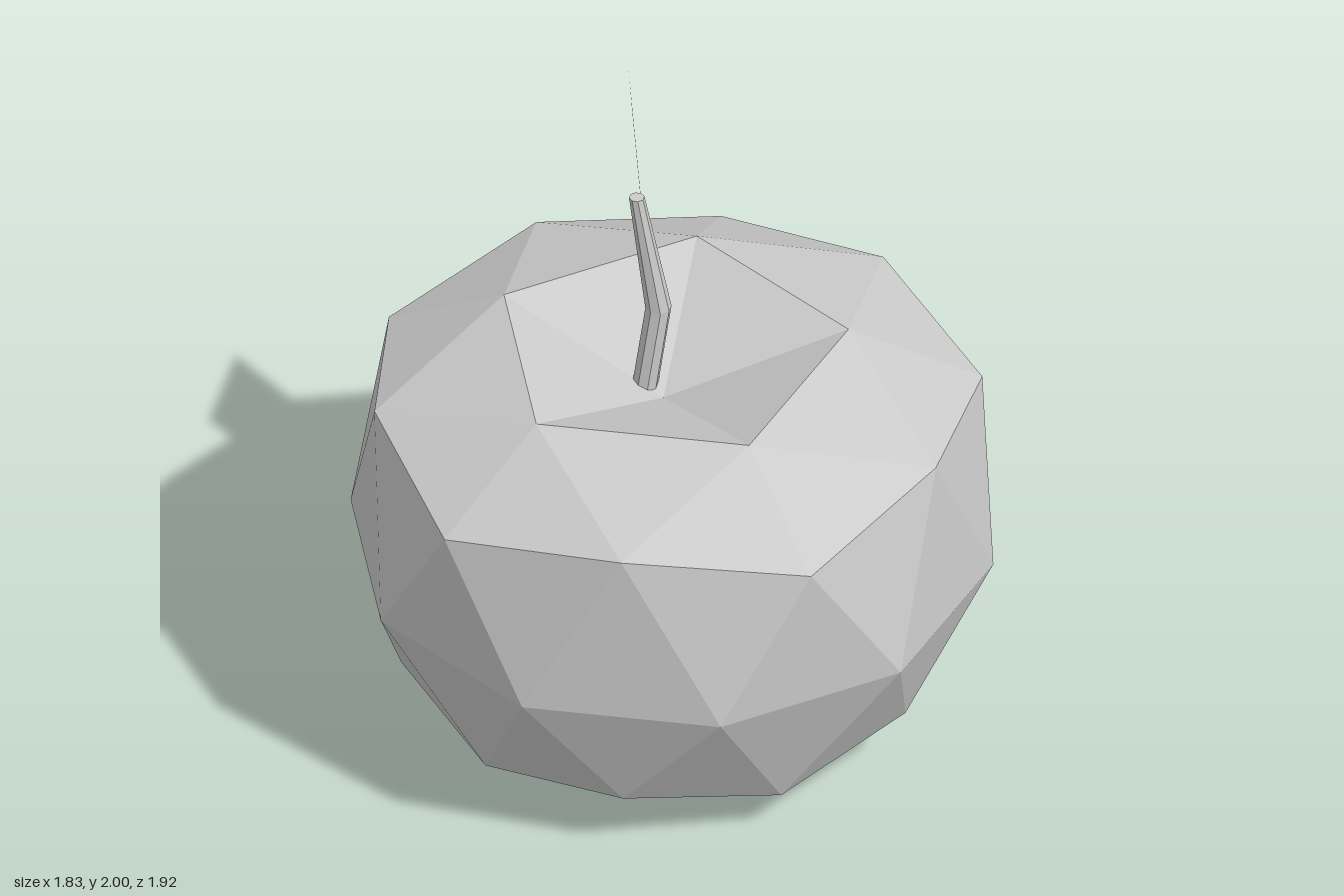
import * as THREE from 'three';

const grey = (extra = {}) =>
  new THREE.MeshStandardMaterial({ color: 0xcccccc, flatShading: true, ...extra });

function facetGeometry(triangles) {
  const g = new THREE.BufferGeometry().setFromPoints(triangles.flat());
  g.computeVertexNormals();
  return g;
}

// point on a horizontal ring, angle counted in steps of 36 degrees
function ringPoint([cx, r, y], step) {
  const a = (step * Math.PI) / 5;
  return new THREE.Vector3(cx + r * Math.cos(a), y, r * Math.sin(a));
}

// Faceted fruit: a subdivided icosahedron squashed ring by ring, with dented poles
function makeBody() {
  const tris = [];
  // rings are [centre x, radius, height]
  const rimTop = [-0.02, 0.54, 1.29];
  const shoulderCorner = [-0.012, 0.93, 1.07];
  const shoulderMid = [-0.01, 0.88, 1.147];
  const belly = [-0.005, 0.958, 0.6];
  const footCorner = [-0.02, 0.79, 0.21];
  const footMid = [-0.02, 0.75, 0.14];
  const rimBottom = [-0.018, 0.461, 0];

  const upper = (k) => ringPoint(k % 2 ? shoulderMid : shoulderCorner, k);
  const middle = (k) => ringPoint(belly, k + 0.5);
  const lower = (k) => ringPoint(k % 2 ? footCorner : footMid, k);

  // two bands around the belly
  for (let k = 0; k < 10; k++) {
    tris.push(
      [upper(k), upper(k + 1), middle(k)],
      [middle(k), upper(k + 1), middle(k + 1)],
      [middle(k), middle(k + 1), lower(k + 1)],
      [lower(k), middle(k), lower(k + 1)]
    );
  }

  // caps closing the top and bottom down to their dents
  const cap = (pole, rim, ring, start, flip) => {
    for (let k = start; k < start + 10; k += 2) {
      const a = ringPoint(rim, k);
      const b = ringPoint(rim, k + 2);
      const faces = [
        [a, ring(k + 1), ring(k)],
        [b, ring(k + 2), ring(k + 1)],
        [a, b, ring(k + 1)],
        [pole, b, a],
      ];
      faces.forEach((f) => tris.push(flip ? [f[0], f[2], f[1]] : f));
    }
  };
  cap(new THREE.Vector3(-0.03, 1.1, 0), rimTop, upper, 0, false);
  cap(new THREE.Vector3(-0.02, 0.05, 0), rimBottom, lower, 1, true);

  const body = new THREE.Mesh(facetGeometry(tris), grey());
  body.name = 'fruitBody';
  return body;
}

// Bent, tapering stalk: a cylinder whose three rings follow a kinked path
function makeStem() {
  const path = [
    { x: -0.08, y: 1.09, z: -0.055, r: 0.039 },
    { x: -0.036, y: 1.39, z: -0.062, r: 0.039 },
    { x: -0.098, y: 1.79, z: -0.078, r: 0.023 },
  ];
  const g = new THREE.CylinderGeometry(1, 1, 2, 8, 2);
  const p = g.attributes.position;
  for (let i = 0; i < p.count; i++) {
    const s = path[Math.round(p.getY(i)) + 1];
    p.setXYZ(i, s.x + p.getX(i) * s.r, s.y, s.z + p.getZ(i) * s.r);
  }
  g.computeVertexNormals();
  const stem = new THREE.Mesh(g, grey());
  stem.name = 'stem';
  return stem;
}

// Single flat leaf, tilted away behind the stem
function makeLeaf() {
  const [a, b, c, d] = [
    [-0.09, 2.0, -0.22],
    [-0.042, 1.855, -0.61],
    [-0.025, 1.46, -0.465],
    [-0.073, 1.605, -0.075],
  ].map((v) => new THREE.Vector3(...v));
  const leaf = new THREE.Mesh(
    facetGeometry([[a, d, c], [a, c, b]]),
    grey({ side: THREE.DoubleSide })
  );
  leaf.name = 'leaf';
  return leaf;
}

export function createModel() {
  const group = new THREE.Group();
  group.name = 'fruit';
  group.add(makeBody(), makeStem(), makeLeaf());
  return group;
}
